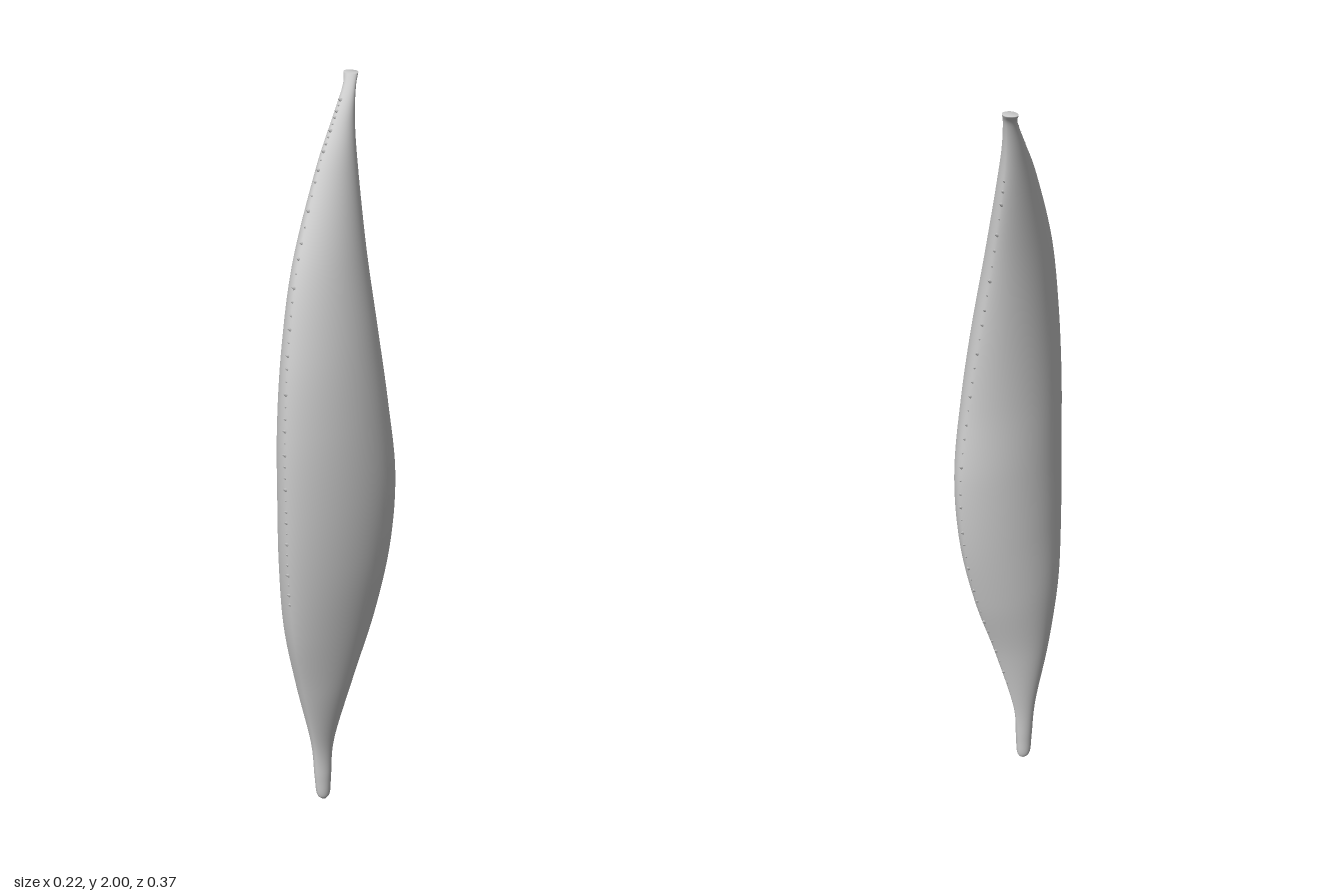
import * as THREE from 'three';

// Cross-section stations up the leaf:
// y, front edge x, front edge z, back edge x, back edge z, min x, max x
const STATIONS = [
  [0.00, -0.035, 0.006, -0.035, -0.008, -0.042, -0.028],
  [0.02, -0.035, 0.021, -0.035, -0.021, -0.054, -0.018],
  [0.08, -0.036, 0.028, -0.034, -0.024, -0.057, -0.015],
  [0.20, -0.034, 0.040, -0.025, -0.032, -0.064, -0.012],
  [0.40, -0.025, 0.090, 0.005, -0.070, -0.090, 0.030],
  [0.60, -0.014, 0.140, 0.030, -0.126, -0.105, 0.066],
  [0.80, -0.005, 0.167, 0.046, -0.162, -0.102, 0.094],
  [1.00, 0.000, 0.177, 0.050, -0.170, -0.096, 0.105],
  [1.20, -0.003, 0.174, 0.038, -0.150, -0.092, 0.098],
  [1.40, -0.012, 0.150, 0.012, -0.136, -0.090, 0.076],
  [1.60, -0.030, 0.095, -0.020, -0.130, -0.090, 0.037],
  [1.80, -0.056, -0.010, -0.054, -0.139, -0.090, -0.014],
  [1.90, -0.069, -0.080, -0.068, -0.148, -0.091, -0.043],
  [1.97, -0.080, -0.133, -0.078, -0.164, -0.094, -0.062],
  [2.00, -0.088, -0.152, -0.086, -0.182, -0.107, -0.070],
];

const smooth = (pick) => new THREE.CatmullRomCurve3(
  STATIONS.map((s) => new THREE.Vector3(...pick(s))), false, 'catmullrom', 0.5);
const frontEdge = smooth((s) => [s[1], s[0], s[2]]);
const backEdge = smooth((s) => [s[3], s[0], s[4]]);
const widths = smooth((s) => [s[5], s[0], s[6]]);

// Lens-shaped sections lofted between the two edges
function bladeGeometry(rows = 140, sides = 56) {
  const pos = [], index = [];
  for (let i = 0; i <= rows; i++) {
    const t = i / rows;
    const f = frontEdge.getPoint(t), b = backEdge.getPoint(t), w = widths.getPoint(t);
    const midX = (f.x + b.x) / 2;
    for (let j = 0; j < sides; j++) {
      const a = (j / sides) * Math.PI * 2;
      const k = (1 + Math.cos(a)) / 2, s = Math.sin(a);
      const reach = s > 0 ? w.z - midX : w.x - midX;
      pos.push(b.x + (f.x - b.x) * k + reach * Math.abs(s) ** 1.2, f.y, b.z + (f.z - b.z) * k);
      if (i === rows) continue;
      const p = i * sides + j, q = i * sides + (j + 1) % sides;
      index.push(p, q, p + sides, q, q + sides, p + sides);
    }
  }
  // Close both ends with a fan
  for (const [t, ring] of [[0, 0], [1, rows]]) {
    const c = frontEdge.getPoint(t).lerp(backEdge.getPoint(t), 0.5);
    const centre = pos.length / 3;
    pos.push(c.x, c.y, c.z);
    for (let j = 0; j < sides; j++) {
      const p = ring * sides + j, q = ring * sides + (j + 1) % sides;
      if (t === 0) index.push(centre, q, p);
      else index.push(centre, p, q);
    }
  }
  const g = new THREE.BufferGeometry();
  g.setAttribute('position', new THREE.Float32BufferAttribute(pos, 3));
  g.setIndex(index);
  g.computeVertexNormals();
  return g;
}

// A row of small blunt teeth along one edge, leaning towards the tip
function teeth(name, edge, sign, from, to, count, material) {
  const row = new THREE.Group();
  row.name = name;
  const geometry = new THREE.ConeGeometry(0.008, 0.022, 8);
  for (let i = 0; i < count; i++) {
    const t = from + (to - from) * (i / (count - 1));
    const size = 0.75 + 0.25 * Math.sin(i * 2.4);
    const tooth = new THREE.Mesh(geometry, material);
    tooth.name = name + 'Tooth';
    tooth.position.copy(edge.getPoint(t));
    tooth.scale.set(size, size, size * 1.2);
    tooth.quaternion.setFromUnitVectors(
      new THREE.Vector3(0, 1, 0), new THREE.Vector3(0, 0.5, sign).normalize());
    row.add(tooth);
  }
  return row;
}

export function createModel() {
  const group = new THREE.Group();
  group.name = 'succulentLeaf';
  const material = new THREE.MeshStandardMaterial({ color: 0xcccccc });

  const blade = new THREE.Mesh(bladeGeometry(), material);
  blade.name = 'leafBlade';
  group.add(blade);

  group.add(teeth('frontEdge', frontEdge, 1, 0.4, 0.9, 46, material));
  group.add(teeth('backEdge', backEdge, -1, 0.25, 0.8, 40, material));
  return group;
}
